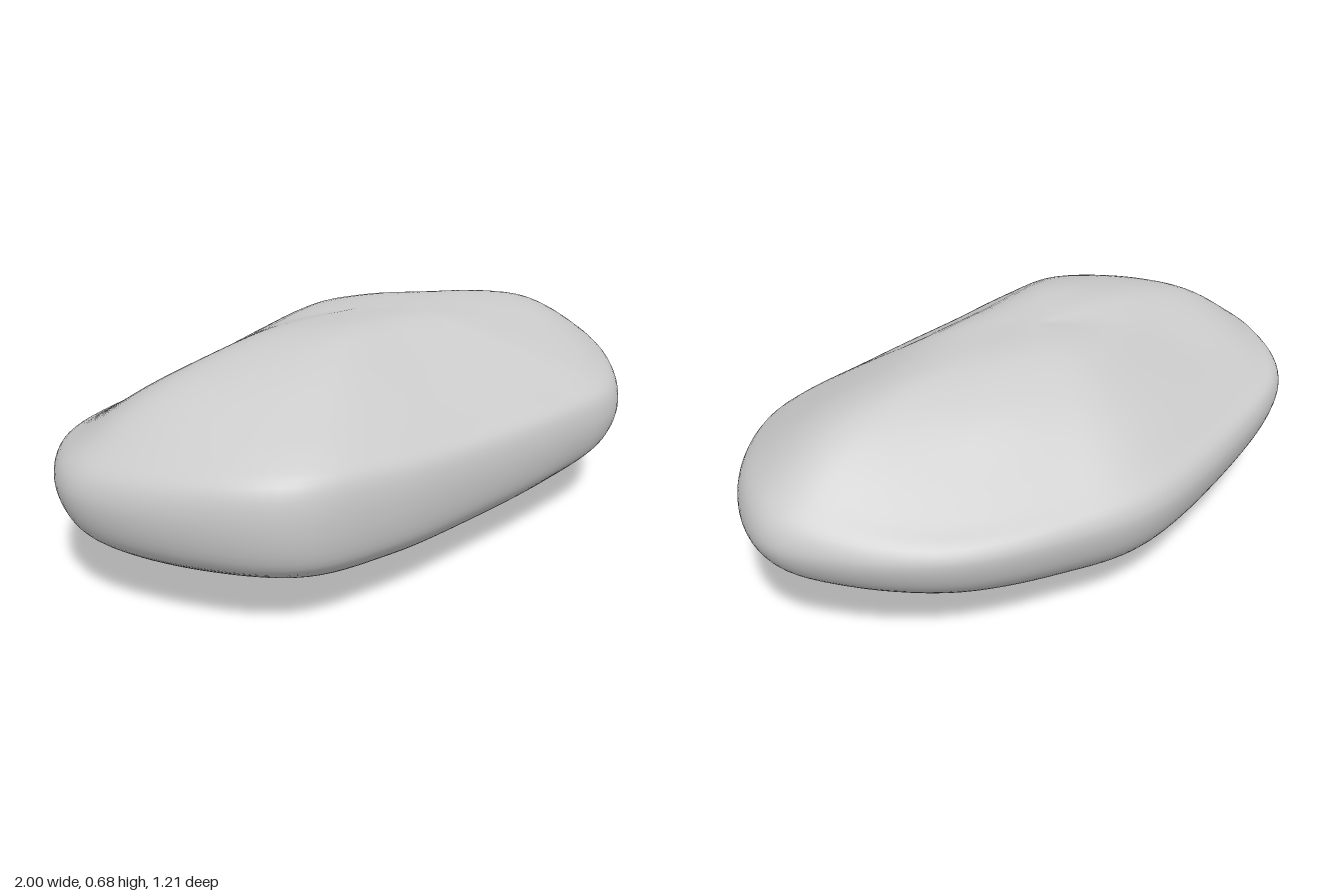
import * as THREE from 'three';

// Plan outline (x, z), starting at +x and turning towards the front
const OUTLINE = [
  [1, 0.02], [0.88, 0.29], [0.64, 0.51], [0.35, 0.565],
  [-0.05, 0.59], [-0.4, 0.6], [-0.69, 0.55], [-0.88, 0.33],
  [-1, 0.02], [-0.93, -0.22], [-0.75, -0.4], [-0.4, -0.52],
  [0.08, -0.605], [0.4, -0.535], [0.7, -0.4], [0.92, -0.18],
];

// Rings from the underside over the rim to the crown: fraction of the outline
const SPREAD = [0, 0.3, 0.55, 0.75, 0.9, 0.97, 1, 0.98, 0.9, 0.75, 0.55, 0.3, 0];

// Height of every ring, on every second outline point
const PROFILES = [
  [0, 0.015, 0.07, 0.14, 0.215, 0.275, 0.345, 0.42, 0.49, 0.575, 0.625, 0.655, 0.67], // left end
  [0, 0.012, 0.06, 0.12, 0.19, 0.245, 0.32, 0.395, 0.445, 0.505, 0.575, 0.65, 0.67],
  [0, 0.012, 0.05, 0.105, 0.17, 0.225, 0.33, 0.41, 0.455, 0.52, 0.585, 0.66, 0.67], // front
  [0, 0.012, 0.06, 0.115, 0.18, 0.235, 0.36, 0.455, 0.505, 0.56, 0.625, 0.675, 0.67],
  [0, 0.012, 0.045, 0.1, 0.175, 0.24, 0.34, 0.41, 0.475, 0.565, 0.625, 0.665, 0.67], // right end
  [0, 0.012, 0.055, 0.115, 0.19, 0.25, 0.325, 0.375, 0.41, 0.465, 0.54, 0.635, 0.67],
  [0, 0.015, 0.05, 0.105, 0.175, 0.24, 0.32, 0.37, 0.42, 0.5, 0.58, 0.65, 0.67], // back
  [0, 0.015, 0.06, 0.12, 0.19, 0.25, 0.325, 0.36, 0.4, 0.48, 0.585, 0.655, 0.67],
];

const loop = (points) => new THREE.CatmullRomCurve3(points, true, 'catmullrom', 0.5);

function stoneGeometry(around = 112, up = 56) {
  const outline = loop(OUTLINE.map(([x, z]) => new THREE.Vector3(x, 0, z)));
  const heights = SPREAD.map((_, k) => loop(PROFILES.map((p) => new THREE.Vector3(0, p[k], 0))));
  const positions = [0, 0, 0];
  const index = [];
  const top = 1 + around * (up - 1);
  const at = (i, j) => (j === 0 ? 0 : j === up ? top : 1 + (i % around) * (up - 1) + j - 1);

  for (let i = 0; i < around; i++) {
    const u = i / around;
    const rim = outline.getPoint(u);
    // Smooth meridian from the underside to the crown
    const meridian = new THREE.CatmullRomCurve3(
      SPREAD.map((r, k) => new THREE.Vector3(r, heights[k].getPoint(u).y, 0)));
    for (let j = 1; j < up; j++) {
      const p = meridian.getPoint(j / up);
      positions.push(rim.x * p.x, p.y, rim.z * p.x);
    }
    // Quads between the poles, single triangles at them
    for (let j = 0; j < up; j++) {
      const a = at(i, j), b = at(i, j + 1), c = at(i + 1, j + 1), d = at(i + 1, j);
      if (j < up - 1) index.push(a, b, c);
      if (j > 0) index.push(a, c, d);
    }
  }
  positions.push(0, 0.67, 0);

  const geometry = new THREE.BufferGeometry();
  geometry.setAttribute('position', new THREE.Float32BufferAttribute(positions, 3));
  geometry.setIndex(index);
  geometry.computeVertexNormals();
  return geometry;
}

export function createModel() {
  const group = new THREE.Group();
  group.name = 'stone';
  const body = new THREE.Mesh(stoneGeometry(), new THREE.MeshStandardMaterial({ color: 0xcccccc }));
  body.name = 'stoneBody';
  group.add(body);
  return group;
}
